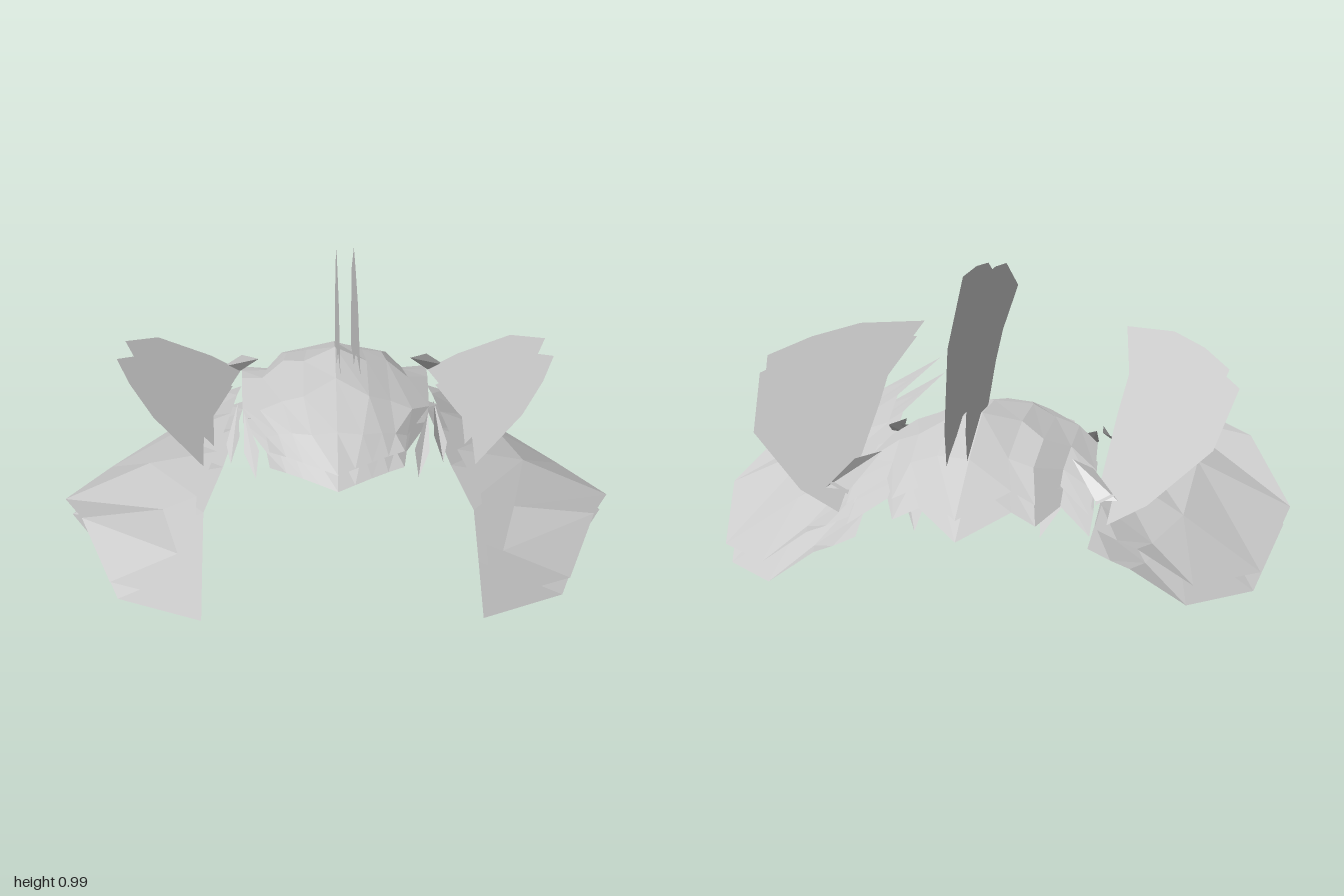
import * as THREE from 'three';

const shell = new THREE.MeshStandardMaterial({ color: 0xcccccc, flatShading: true, side: THREE.DoubleSide });
shell.name = 'pale grey';

// Faceted sheet from points and triangle indices
function sheet(name, points, index) {
  const g = new THREE.BufferGeometry();
  g.setAttribute('position', new THREE.Float32BufferAttribute(points.flat(), 3));
  g.setIndex(index);
  const flat = g.toNonIndexed();
  flat.computeVertexNormals();
  const mesh = new THREE.Mesh(flat, shell);
  mesh.name = name;
  return mesh;
}

// Sheet lofted through rows of equally many points
function gridSheet(name, rows) {
  const n = rows[0].length, index = [];
  for (let r = 0; r < rows.length - 1; r++) {
    for (let c = 0; c < n - 1; c++) {
      const a = r * n + c, b = a + n;
      index.push(a, b, a + 1, b, b + 1, a + 1);
    }
  }
  return sheet(name, rows.flat(), index);
}

// Flat sheet from a 2D outline; place() lifts each point into space
function outlineSheet(name, outline, place) {
  const pts = outline.map(p => new THREE.Vector2(...p));
  const faces = THREE.ShapeUtils.triangulateShape(pts, []);
  return sheet(name, outline.map(p => place(...p)), faces.flat());
}

export function createModel() {
  const model = new THREE.Group();
  model.name = 'wingedShell';

  // Body: faceted shell, half rows from the spine outwards
  const half = [
    [[0, .425, .24], [.06, .423, .19], [.12, .42, .14], [.18, .415, .09], [.24, .41, .045]],
    [[0, .485, .04], [.09, .475, .04], [.16, .46, 0], [.21, .44, -.03], [.255, .41, -.07]],
    [[0, .55, -.26], [.12, .52, -.17], [.2, .485, -.2], [.28, .455, -.19], [.35, .42, -.28]],
    [[0, .565, -.5], [.12, .53, -.45], [.2, .495, -.53], [.28, .455, -.46], [.365, .41, -.55]],
    [[0, .48, -.74], [.11, .47, -.68], [.19, .45, -.70], [.27, .42, -.60], [.372, .38, -.68]],
    [[0, .365, -.98], [.14, .41, -.82], [.215, .38, -.85], [.27, .39, -.68], [.37, .34, -.80]],
  ];
  const bodyRows = half.map(r => [...r.slice(1).reverse().map(([x, y, z]) => [-x, y, z]), ...r]);
  const body = new THREE.Group();
  body.name = 'body';
  const upperShell = gridSheet('upperShell', bodyRows);
  const lowerShell = gridSheet('lowerShell', bodyRows);
  lowerShell.position.y = -.065;
  body.add(upperShell, lowerShell);
  model.add(body);

  // Dorsal fin: two parallel sheets, outline as z, y
  const finOutline = [[.33, .85], [.04, .97], [-.2, .99], [-.45, .99], [-.71, .81], [-.77, .57],
    [-.74, .44], [-.35, .56], [-.2, .67], [-.04, .75]];
  for (const x of [.005, .069]) {
    model.add(outlineSheet('dorsalFin', finOutline, (z, y) => [x, y, z]));
  }

  // Upper wing outline as x, z
  const upperOutline = [[.395, .48], [.58, .21], [.69, -.05], [.77, -.3], [.69, -.61], [.5, -.74],
    [.38, -.74], [.41, -.2], [.43, .05]];

  // Lower wing rows: outer edge, ridge, inner edge
  const lowerRows = [
    [[.435, .43, .97], [.435, .43, .97], [.435, .43, .97]],
    [[.73, .29, .66], [.51, .395, .66], [.455, .42, .66]],
    [[.87, .31, .31], [.59, .36, .34], [.475, .41, .34]],
    [[1, .16, -.06], [.68, .31, -.06], [.43, .39, 0]],
    [[.89, .065, -.46], [.64, .23, -.42], [.4, .36, -.35]],
    [[.68, .1, -.7], [.55, .2, -.62], [.39, .31, -.6]],
    [[.51, .23, -.76], [.45, .25, -.75], [.38, .28, -.74]],
  ];

  // Small blades beside the neck and at the wing roots
  const shards = [
    [[.365, .45, -.26], [.4, .38, -.07], [.38, .35, .02], [.35, .42, -.05]],
    [[.34, .44, -.2], [.335, .36, -.04], [.29, .31, .06], [.28, .38, -.02]],
    [[.33, .39, -.25], [.26, .27, -.5], [.2, .2, -.62], [.18, .3, -.42]],
    [[.30, .46, -.62], [.37, .45, -.68], [.45, .37, -.74], [.38, .36, -.72]],
  ];

  for (const s of [1, -1]) {
    const side = s > 0 ? 'left' : 'right';
    // Upper wing, two flat sheets
    for (const [dx, dy, dz] of [[0, 0, 0], [.035, -.065, .015]]) {
      model.add(outlineSheet(side + 'UpperWing', upperOutline,
        (x, z) => [s * (x + dx), .33 + .565 * x + .26 * z + dy, z + dz]));
    }
    // Lower wing, two faceted sheets
    for (const [dx, dy] of [[0, 0], [-.02, -.065]]) {
      model.add(gridSheet(side + 'LowerWing',
        lowerRows.map(r => r.map(([x, y, z]) => [s * (x + dx), y + dy, z]))));
    }
    for (const p of shards) {
      model.add(sheet(side + 'Shard', p.map(([x, y, z]) => [s * x, y, z]), [0, 1, 2, 0, 2, 3]));
    }
  }
  return model;
}
